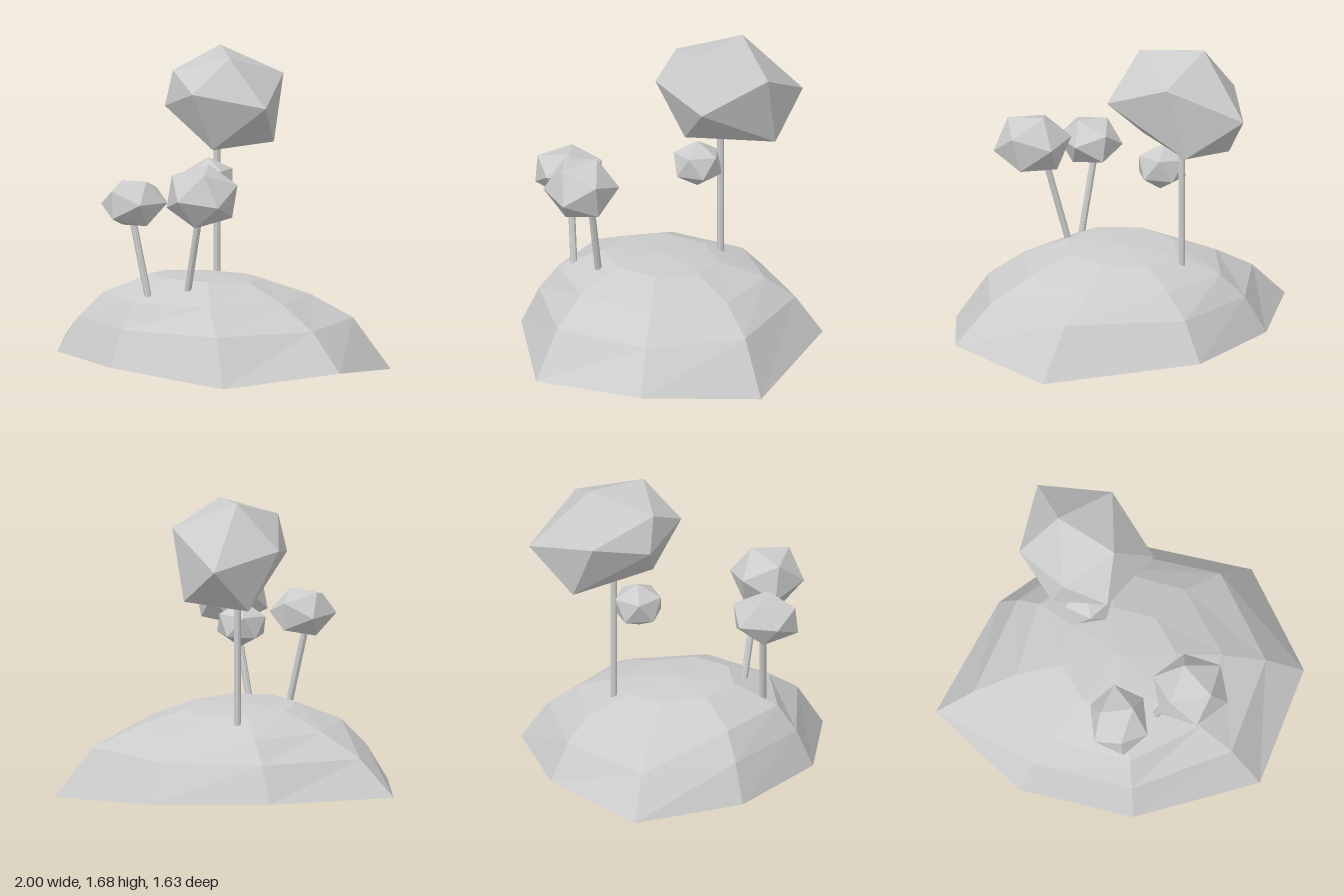
import * as THREE from 'three';
import { ConvexGeometry } from 'three/addons/geometries/ConvexGeometry.js';

const grey = new THREE.MeshStandardMaterial({ color: 0xcccccc, flatShading: true });
const greyOpen = new THREE.MeshStandardMaterial({ color: 0xcccccc, flatShading: true, side: THREE.DoubleSide });

const vec = (x, y, z) => new THREE.Vector3(x, y, z);

function addMesh(group, name, geometry, material = grey) {
  const mesh = new THREE.Mesh(geometry, material);
  mesh.name = name;
  group.add(mesh);
}

// Hill: uneven eight-cornered rim, two round upper rings, a shoulder ring
// halfway between them, and a low peak; open below
function hillGeometry() {
  const n = 8;
  const rim = [
    vec(-0.04, 0.07, -0.82), vec(0.78, 0, -0.57), vec(1, 0.07, 0.06), vec(0.7, 0.02, 0.66),
    vec(0, 0.08, 0.81), vec(-0.6, 0.08, 0.59), vec(-1, 0.08, 0.1), vec(-0.6, 0.08, -0.49),
  ];
  const roundRing = (radius, height, tilt) => rim.map((_, i) => {
    const angle = (i / n) * Math.PI * 2;
    const z = 0.05 - radius * Math.cos(angle);
    return vec(radius * Math.sin(angle), height + tilt * z, z);
  });
  const upper = roundRing(0.56, 0.4, 0.02);
  const crest = roundRing(0.31, 0.49, 0.07);
  const shoulder = rim.map((p, i) => p.clone().lerp(upper[i], 0.47).setY(0.275));
  const points = [...rim, ...shoulder, ...upper, ...crest, vec(0, 0.515, 0.03)];

  const index = [];
  for (let r = 0; r < 4; r++) {
    for (let i = 0; i < n; i++) {
      const a = r * n + i;
      const b = r * n + ((i + 1) % n);
      if (r < 3) index.push(b, a, a + n, b, a + n, b + n);
      else index.push(b, a, 4 * n);
    }
  }
  const geometry = new THREE.BufferGeometry().setFromPoints(points);
  geometry.setIndex(index);
  geometry.computeVertexNormals();
  return geometry;
}

// Trunk: thin straight post between two points
function trunkGeometry(from, to) {
  const dir = to.clone().sub(from);
  const geometry = new THREE.CylinderGeometry(0.019, 0.019, dir.length(), 8);
  const turn = new THREE.Quaternion().setFromUnitVectors(vec(0, 1, 0), dir.clone().normalize());
  const mid = from.clone().lerp(to, 0.5);
  return geometry.applyQuaternion(turn).translate(mid.x, mid.y, mid.z);
}

// Small crown: twenty-sided solid with one corner along "pole" and the next
// one towards "side", fitted to a centre and size
function crownGeometry(center, size, pole, side) {
  const up = pole.clone().normalize();
  const right = up.clone().cross(side).normalize();
  const out = right.clone().cross(up);
  const basis = new THREE.Matrix4().makeBasis(right, up, out);
  const corners = [vec(0, 1, 0), vec(0, -1, 0)];
  for (let i = 0; i < 10; i++) {
    const angle = (i / 5) * Math.PI;
    const y = (i % 2 ? -1 : 1) / Math.sqrt(5);
    corners.push(vec(2 / Math.sqrt(5) * Math.sin(angle), y, 2 / Math.sqrt(5) * Math.cos(angle)));
  }
  corners.forEach((p) => p.applyMatrix4(basis));
  const extent = new THREE.Box3().setFromPoints(corners).getSize(vec(0, 0, 0));
  corners.forEach((p) => p.divide(extent).multiply(size).add(center));
  return new ConvexGeometry(corners);
}

// Large uneven crown of the tall tree
function tallCrownGeometry() {
  return new ConvexGeometry([
    vec(0.21, 1.4, -0.19), vec(-0.51, 1.43, -0.28), vec(-0.29, 1.68, -0.36), vec(-0.01, 1.66, -0.14),
    vec(-0.07, 1.48, 0.09), vec(-0.36, 1.38, 0), vec(-0.3, 1.58, 0), vec(0.02, 1.54, -0.53),
    vec(-0.37, 1.35, -0.68), vec(-0.08, 1.15, -0.56), vec(-0.41, 1.11, -0.42), vec(-0.07, 1.16, -0.07),
  ]);
}

export function createModel() {
  const model = new THREE.Group();
  model.name = 'hillWithTrees';
  addMesh(model, 'hill', hillGeometry(), greyOpen);

  addMesh(model, 'tallTrunk', trunkGeometry(vec(-0.21, 0.42, -0.25), vec(-0.21, 1.25, -0.25)));
  addMesh(model, 'tallCrown', tallCrownGeometry());

  addMesh(model, 'leftTrunk', trunkGeometry(vec(0.11, 0.25, 0.36), vec(0.3, 0.97, 0.41)));
  addMesh(model, 'leftCrown', crownGeometry(
    vec(0.345, 1.012, 0.45), vec(0.39, 0.325, 0.41), vec(-0.13, 1, -0.44), vec(0.59, 0.72, 0.63)));

  addMesh(model, 'frontTrunk', trunkGeometry(vec(0.06, 0.22, 0.51), vec(-0.09, 0.92, 0.555)));
  addMesh(model, 'frontCrown', crownGeometry(
    vec(-0.055, 0.945, 0.56), vec(0.29, 0.25, 0.36), vec(0.52, 1, -0.06), vec(1, 0.12, -0.61)));

  // Small crown floating beside the tall trunk
  addMesh(model, 'sideCrown', crownGeometry(
    vec(-0.15, 0.98, -0.13), vec(0.26, 0.25, 0.26), vec(-0.08, 1, 0), vec(0, 0.4, 1)));
  return model;
}
